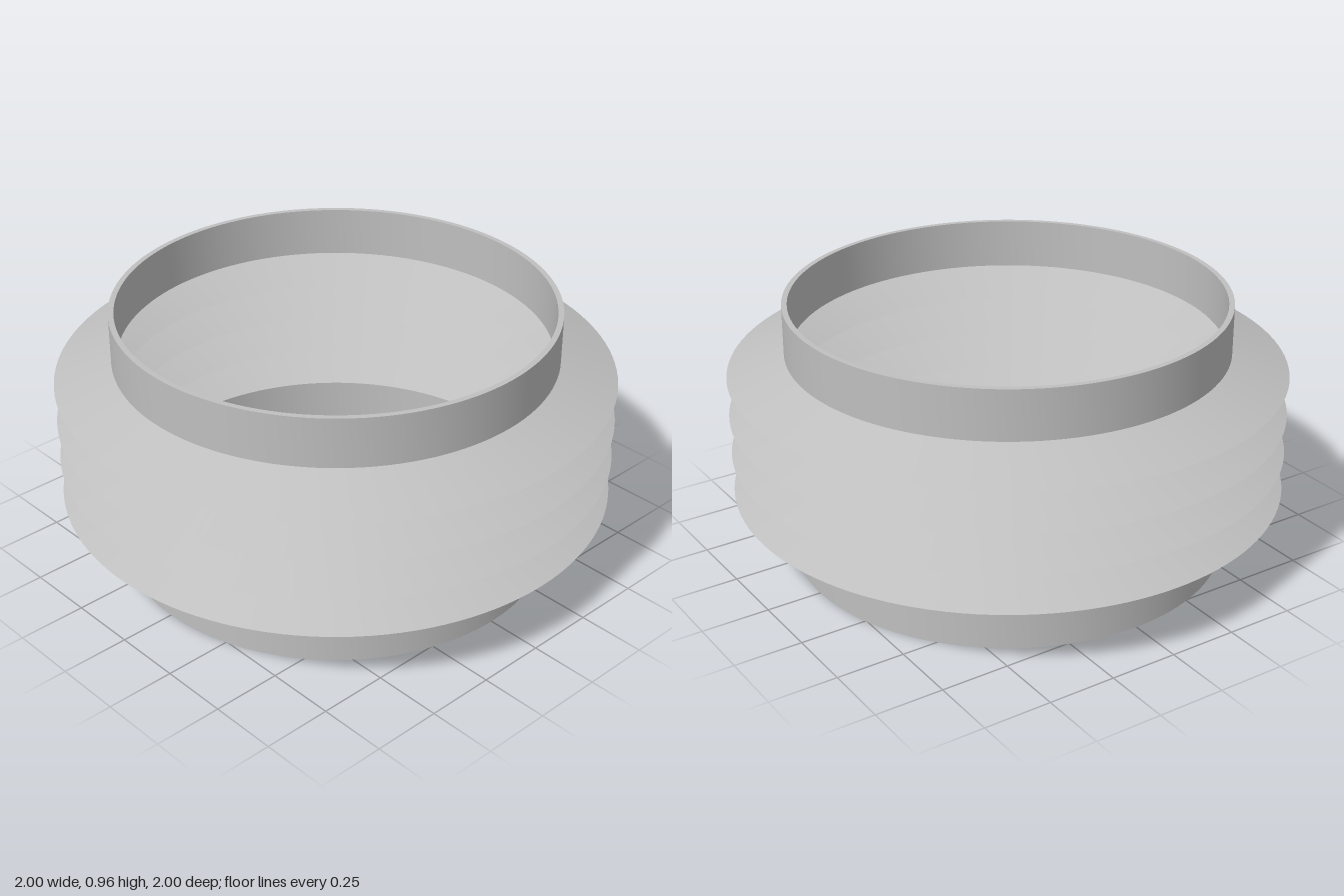
import * as THREE from 'three';
import { mergeGeometries, toCreasedNormals } from 'three/addons/utils/BufferGeometryUtils.js';

const VALLEY = 0.795, PEAK = 1, WALL = 0.02;     // radii and wall thickness
const FOLD_BOTTOM = 0.185, FOLD_TOP = 0.773, HEIGHT = 0.956;
const FOLDS = 4, SEGMENTS = 128;

// Revolve a profile of [radius, height] pairs, keeping the creases sharp
function revolve(profile) {
  const points = profile.map(([r, y]) => new THREE.Vector2(r, y));
  return toCreasedNormals(new THREE.LatheGeometry(points, SEGMENTS), 0.5);
}

export function createModel() {
  const group = new THREE.Group();
  group.name = 'bellows';
  const grey = new THREE.MeshStandardMaterial({ color: 0xbfbfbf });
  grey.name = 'grey';

  const add = (name, geometry) => {
    const mesh = new THREE.Mesh(geometry, grey);
    mesh.name = name;
    group.add(mesh);
  };
  const bore = VALLEY - WALL;

  // Straight collars: outside wall, rim and inside wall
  add('lowerCollar', revolve([[bore, FOLD_BOTTOM], [bore, 0], [VALLEY, 0], [VALLEY, FOLD_BOTTOM]]));
  add('upperCollar', revolve([[VALLEY, FOLD_TOP], [VALLEY, HEIGHT], [bore, HEIGHT], [bore, FOLD_TOP]]));

  // Zigzag folds, with a matching hollow inside
  const outside = [];
  for (let i = 0; i <= FOLDS * 2; i++) {
    const y = FOLD_BOTTOM + (FOLD_TOP - FOLD_BOTTOM) * i / (FOLDS * 2);
    outside.push([i % 2 ? PEAK : VALLEY, y]);
  }
  const inside = outside.map(([r, y]) => [r - WALL, y]).reverse();
  add('folds', mergeGeometries([revolve(outside), revolve(inside)]));

  return group;
}
